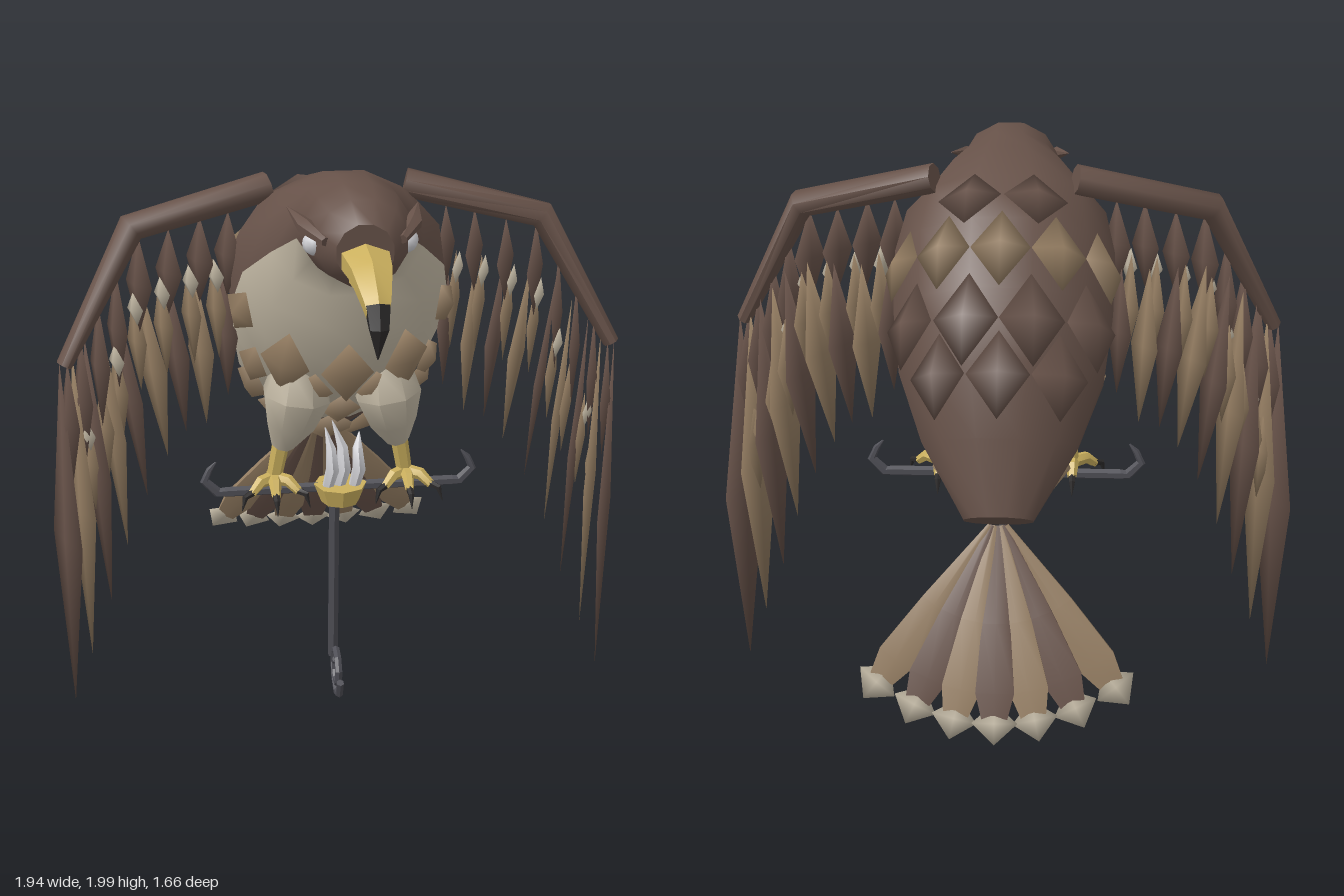
import * as THREE from 'three';
import { toCreasedNormals } from 'three/addons/utils/BufferGeometryUtils.js';

const mat = (name, color) => {
  const m = new THREE.MeshStandardMaterial({ color });
  m.name = name;
  return m;
};
const V = (x, y, z) => new THREE.Vector3(x, y, z);

export function createModel() {
  const model = new THREE.Group();
  const dark = mat('dark brown', 0x675249), light = mat('light brown', 0x947d62);
  const cream = mat('cream', 0xc0b6a2), yellow = mat('horn yellow', 0xcbb05e);
  const black = mat('claw black', 0x2c2a2a), iron = mat('iron', 0x4d4d54);
  const silver = mat('silver', 0xd0d0d4);

  const add = (name, geo, material) => {
    const mesh = new THREE.Mesh(geo, material);
    mesh.name = name;
    model.add(mesh);
    return mesh;
  };
  const geometry = (points, index) => {
    const g = new THREE.BufferGeometry().setFromPoints(points);
    g.setIndex(index);
    g.computeVertexNormals();
    return g;
  };

  // Skin over rings of points; the second list takes the faces picked by isSecond
  const loft = (rings, isSecond = () => false) => {
    const n = rings[0].length, pts = rings.flat(), a = [], b = [];
    for (let i = 0; i < rings.length - 1; i++) for (let j = 0; j < n; j++) {
      const k = (j + 1) % n, p = i * n + j, q = i * n + k;
      (isSecond(i, j) ? b : a).push(p, q, p + n, q, q + n, p + n);
    }
    [0, rings.length - 1].forEach((r, end) => {
      const base = pts.length, c = V(0, 0, 0);
      rings[r].forEach(p => c.addScaledVector(p, 1 / n));
      pts.push(...rings[r].map(p => p.clone()), c);
      for (let j = 0; j < n; j++) {
        const k = (j + 1) % n;
        a.push(base + n, base + (end ? j : k), base + (end ? k : j));
      }
    });
    const g = geometry(pts, [...a, ...b]);
    g.addGroup(0, a.length, 0);
    g.addGroup(a.length, b.length, 1);
    return g;
  };

  // Sweep an oval along a path; radii are [along side, across side]
  const sweep = (name, material, path, radii, { side = V(0, 0, 1), n = 6, crease = 0.6 } = {}) => {
    const rings = path.map((p, i) => {
      const t = path[Math.min(i + 1, path.length - 1)].clone().sub(path[Math.max(i - 1, 0)]).normalize();
      const u = side.clone().addScaledVector(t, -side.dot(t)).normalize();
      const v = t.clone().cross(u);
      const [ra, rb = ra] = [radii[i]].flat();
      return Array.from({ length: n }, (_, j) => {
        const w = (j + 0.5) / n * Math.PI * 2;
        return p.clone().addScaledVector(u, Math.cos(w) * ra).addScaledVector(v, Math.sin(w) * rb);
      });
    });
    return add(name, toCreasedNormals(loft(rings), crease), material);
  };

  // Diamond feather with a raised middle
  const feather = (name, material, top, tip, normal, width, thick = 0.02, f = 0.5) => {
    const axis = tip.clone().sub(top).normalize();
    const s = axis.clone().cross(normal).normalize(), nrm = s.clone().cross(axis);
    const mid = top.clone().lerp(tip, f);
    const pts = [top, mid.clone().addScaledVector(s, width / 2), tip, mid.clone().addScaledVector(s, -width / 2),
      mid.clone().addScaledVector(nrm, thick), mid.clone().addScaledVector(nrm, -thick / 2)];
    return add(name, geometry(pts, [0, 1, 4, 1, 2, 4, 2, 3, 4, 3, 0, 4, 1, 0, 5, 2, 1, 5, 3, 2, 5, 0, 3, 5]), material);
  };

  // Body sections from face to rump: top z, y, bottom z, y, half width
  const sections = [
    [0.57, 1.92, 0.56, 1.75, 0.085], [0.51, 1.98, 0.51, 1.72, 0.135], [0.4, 2.005, 0.4, 1.71, 0.165],
    [0.25, 2.0, 0.29, 1.7, 0.17], [0.1, 1.98, 0.27, 1.62, 0.245], [-0.1, 1.93, 0.26, 1.52, 0.33],
    [-0.25, 1.83, 0.22, 1.4, 0.36], [-0.4, 1.65, 0.15, 1.27, 0.355], [-0.48, 1.45, 0, 1.16, 0.33],
    [-0.53, 1.22, -0.2, 1.04, 0.25], [-0.57, 0.98, -0.45, 0.9, 0.11]];
  const surf = (t, deg) => {
    const i = Math.min(Math.floor(t), sections.length - 2);
    const [tz, ty, bz, by, w] = sections[i].map((v, k) => v + (sections[i + 1][k] - v) * (t - i));
    const a = deg * Math.PI / 180, c = Math.cos(a) / 2;
    return V(Math.sin(a) * w, (ty + by) / 2 + (ty - by) * c, (tz + bz) / 2 + (tz - bz) * c);
  };
  const rings = sections.map((_, i) => Array.from({ length: 12 }, (_, j) => surf(i, 15 + 30 * j)));
  add('body', loft(rings, (i, j) => i >= 3 && i < 9 && j >= 3 && j <= 7), [dark, cream]);

  // Feathers lying on the body: material, start, end, angles from the back, width, lift
  const rows = [
    [dark, 5, 6.25, [16, -16], 0.2, 0.05], [light, 5.9, 7.1, [0, 27, -27, 54, -54], 0.18, 0.06],
    [dark, 6.8, 8.1, [15, -15, 46, -46], 0.2, 0.09], [dark, 7.6, 8.7, [0, 32, -32], 0.19, 0.09],
    [light, 5.3, 6.4, [114, -114], 0.15, 0.02], [light, 5.5, 7.05, [180, 148, -148], 0.17, 0.04],
    [light, 6.5, 7.5, [164, -164, 128, -128], 0.13, 0.03], [light, 7.2, 8.3, [125, -125, 180], 0.14, 0.04],
    [light, 8, 9, [140, -140], 0.15, 0.04], [light, 8.5, 9.8, [180, 145, -145], 0.2, 0.04]];
  for (const [m, t0, t1, angles, width, lift] of rows) for (const a of angles) {
    const mid = (t0 + t1) / 2;
    const normal = surf(mid, a + 2).sub(surf(mid, a - 2)).cross(surf(mid + 0.1, a).sub(surf(mid - 0.1, a))).normalize();
    feather('body feather', m, surf(t0, a), surf(t1, a).addScaledVector(normal, lift), normal, width, 0.035);
  }

  // Beak
  const X = V(1, 0, 0);
  sweep('upper beak', yellow, [V(0, 1.815, 0.55), V(0, 1.805, 0.68), V(0, 1.75, 0.775), V(0, 1.72, 0.795)],
    [[0.08, 0.05], [0.066, 0.042], [0.044, 0.036], [0.034, 0.035]], { side: X });
  sweep('beak tip', black, [V(0, 1.745, 0.785), V(0, 1.69, 0.815), V(0, 1.6, 0.8)], [[0.038, 0.04], [0.03, 0.028], 0.002], { side: X });
  sweep('lower beak', yellow, [V(0, 1.755, 0.54), V(0, 1.75, 0.62), V(0, 1.72, 0.7)], [[0.05, 0.02], [0.04, 0.018], 0.005], { side: X });

  for (const m of [1, -1]) {
    const P = (x, y, z) => V(x * m, y, z);

    // Eye and brow
    const eye = add('eye', new THREE.SphereGeometry(0.036, 10, 8), silver);
    eye.position.copy(P(0.133, 1.845, 0.47));
    sweep('brow', dark, [P(0.11, 1.865, 0.54), P(0.155, 1.89, 0.45), P(0.195, 1.915, 0.31)], [0.014, [0.03, 0.022], 0.002], { side: P(1, 0, 0) });

    // Wing arm
    const arm = [P(0.22, 1.9, -0.05), P(0.655, 1.8, 0.03), P(0.885, 1.39, 0.12)];
    sweep('wing arm', dark, arm, [[0.066, 0.046], [0.062, 0.046], [0.042, 0.026]], { n: 8, crease: 1 });

    // Long flight feathers: top x, y, z, tip x, y, z, width
    const outer = P(0.86, 0, 0.5).normalize(), inner = P(0.78, 0, 0.62).normalize();
    [[0.9, 1.4, 0.11, 0.937, 0.13, 0.06, 0.2], [0.86, 1.42, 0.09, 0.867, 0.31, 0.06, 0.18],
      [0.82, 1.47, 0.07, 0.79, 0.5, 0.04, 0.17], [0.77, 1.52, 0.04, 0.725, 0.7, 0.02, 0.16],
      [0.72, 1.58, 0.01, 0.65, 0.87, 0, 0.15], [0.64, 1.62, -0.02, 0.575, 1, -0.03, 0.14],
      [0.55, 1.62, -0.04, 0.51, 1.08, -0.05, 0.13], [0.46, 1.62, -0.05, 0.44, 1.1, -0.06, 0.13],
      [0.37, 1.62, -0.06, 0.365, 1.2, -0.06, 0.12]].forEach(([a, b, c, d, e, f, w], i) =>
      feather('flight feather', i % 2 ? light : dark, P(a, b, c), P(d, e, f), i < 5 ? outer : inner, w, 0.012));

    // Short covert feathers along the arm: top x, y, z, length
    [[0.35, 1.83, -0.02, 0.28], [0.44, 1.82, 0, 0.28], [0.54, 1.79, 0.02, 0.28], [0.635, 1.78, 0.04, 0.32],
      [0.71, 1.68, 0.06, 0.4], [0.77, 1.58, 0.08, 0.42], [0.83, 1.48, 0.1, 0.44], [0.875, 1.4, 0.12, 0.42]].forEach(([x, y, z, len], i) => {
      feather('covert feather', dark, P(x, y, z), P(x + 0.01, y - len, z - 0.01), i < 4 ? inner : outer, 0.13, 0.02);
      const px = x + 0.05 - i * 0.008, py = y - len * 0.8;
      feather('under covert', light, P(px, py + 0.06, z - 0.05), P(px - 0.01, py - 0.28, z - 0.06), inner, 0.1, 0.012);
      if (i < 4 || i % 2 === 0) feather('pale feather tip', cream, P(px, py + 0.07, z), P(px - 0.01, py - 0.04, z), inner, 0.08, 0.018);
    });

    // Thigh, shin and foot
    sweep('thigh', cream, [P(0.14, 1.33, 0.07), P(0.15, 1.24, 0.08), P(0.17, 1.14, 0.06), P(0.195, 1.05, 0.035)],
      [0.09, 0.115, 0.085, 0.04], { n: 8, crease: 1 });
    sweep('shin', yellow, [P(0.195, 1.08, 0.04), P(0.225, 0.915, 0.02)], [0.03, 0.026]);
    for (const deg of [-52, 0, 52, 180]) {
      const dx = Math.sin(deg * Math.PI / 180), dz = Math.cos(deg * Math.PI / 180);
      const at = (r, y) => P(0.225 + dx * r, y, 0.02 + dz * r);
      const long = deg === 180 ? 0.07 : 0.1;
      sweep('toe', yellow, [at(0, 0.925), at(long * 0.6, 0.925), at(long, 0.895)], [0.024, 0.021, 0.015], { side: V(0.1, 1, 0.1) });
      sweep('claw', black, [at(long - 0.01, 0.9), at(long + 0.03, 0.89), at(long + 0.045, 0.845)], [0.014, 0.011, 0.001], { side: V(dz, 0.01, -dx) });
    }

    // Hooked end of the perch
    sweep('perch hook', iron, [[0.38, 0.88], [0.415, 0.88], [0.458, 0.925], [0.44, 0.965], [0.418, 0.99]].map(([x, y]) => P(x, y, 0.02)),
      [0.018, 0.018, 0.016, 0.011, 0.003]);
  }

  // Tail fan with pale tips
  const tailNormal = V(0, 0.45, -0.9);
  for (let i = -3; i <= 3; i++) {
    const x = i * 0.12, z = -0.785 + 0.012 * i * i, y = 0.395 + 0.008 * i * i;
    const root = V(i * 0.008, 0.93, -0.52), end = V(x, y, z);
    const at = f => root.clone().lerp(end, f);
    sweep('tail feather', i % 2 ? light : dark, [root, at(0.5), at(0.85), at(1)],
      [[0.01, 0.008], [0.05, 0.018], [0.068, 0.02], [0.042, 0.006]], { side: X, crease: 1 });
    feather('tail tip', cream, at(0.9), at(1.11).add(V(i * 0.004, 0, 0)), tailNormal, 0.14, 0.016, 0.48);
  }

  // Perch bar, strut and pole
  sweep('perch bar', iron, [V(-0.39, 0.88, 0.02), V(0.39, 0.88, 0.02)], [0.018, 0.018]);
  sweep('perch strut', iron, [V(0, 0.88, 0.02), V(0, 0.88, -0.14)], [0.016, 0.016], { side: X });
  sweep('pole', iron, [V(0, 0.88, -0.115), V(0, 0.11, -0.168)], [0.02, 0.02], { side: X });

  // Scroll at the foot of the pole
  const scroll = Array.from({ length: 15 }, (_, i) => {
    const a = i / 14 * Math.PI * 3.3, r = 0.1 - 0.066 * i / 14;
    return V(0, 0.112 - Math.sin(a) * r, -0.06 + Math.cos(a) * r);
  });
  sweep('scroll', iron, scroll, scroll.map(() => 0.014), { side: X });

  // Cup with silver plumes
  const cup = add('cup', toCreasedNormals(new THREE.CylinderGeometry(0.09, 0.065, 0.065, 8), 0.6), yellow);
  cup.position.set(0, 0.865, 0.035);
  for (const [x, h, z, lean, w] of [[-0.045, 1.1, 0.05, -0.05, 0.024], [-0.005, 1.12, 0.04, -0.025, 0.026], [0.045, 1.08, 0.05, 0.065, 0.024]]) {
    sweep('silver plume', silver, [V(x, 0.89, z), V(x + 0.015, 0.96, z + 0.015), V(x + 0.012, 1.03, z), V(lean, h, z - 0.02)],
      [w * 0.8, w, w * 0.75, 0.002], { side: X, crease: 1 });
  }
  return model;
}
